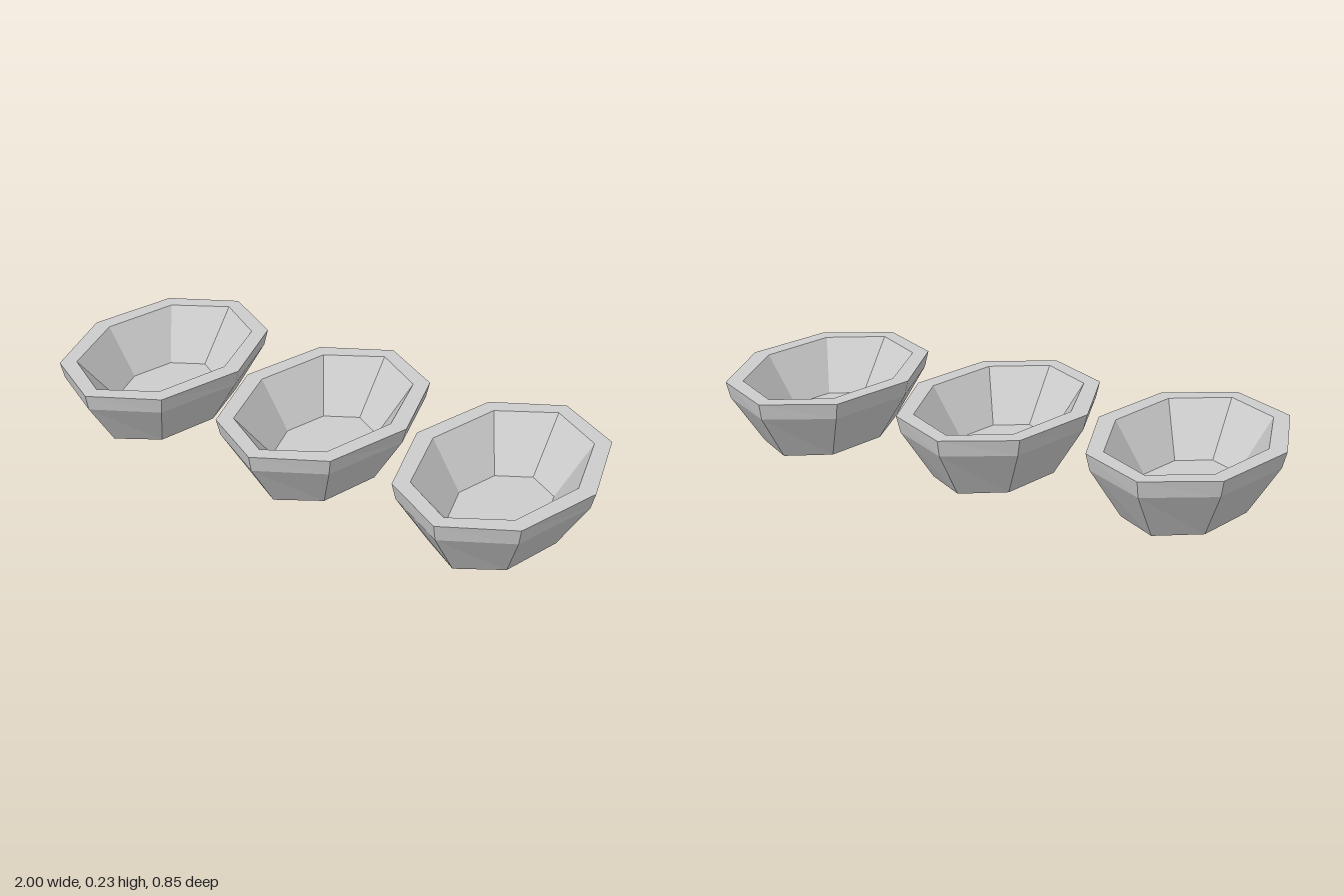
import * as THREE from 'three';

// Closed bowl profile: [radius in x, radius in z, height]
const RINGS = [
  [0, 0, 0],
  [0.2, 0.3, 0],          // foot
  [0.305, 0.415, 0.173],  // lower edge of the lip
  [0.32, 0.427, 0.23],    // outer rim
  [0.26, 0.37, 0.23],     // inner rim
  [0.155, 0.215, 0.06],   // inner floor
  [0, 0, 0.06],
];

// Eight-sided lathe whose rings are stretched to ovals
function bowlGeometry() {
  const profile = RINGS.map(([rx, , y]) => new THREE.Vector2(rx, y));
  const geometry = new THREE.LatheGeometry(profile, 8);
  const pos = geometry.attributes.position;
  for (let i = 0; i < pos.count; i++) {
    const [rx, rz] = RINGS[i % RINGS.length];
    if (rx > 0) pos.setZ(i, pos.getZ(i) * rz / rx);
  }
  geometry.computeVertexNormals();
  return geometry;
}

export function createModel() {
  const group = new THREE.Group();
  group.name = 'bowlRow';
  const material = new THREE.MeshStandardMaterial({ color: 0xcccccc, flatShading: true });
  const geometry = bowlGeometry();

  // Three equal bowls side by side
  ['rightBowl', 'middleBowl', 'leftBowl'].forEach((name, i) => {
    const bowl = new THREE.Mesh(geometry, material);
    bowl.name = name;
    bowl.position.x = (i - 1) * 0.68;
    group.add(bowl);
  });
  return group;
}
